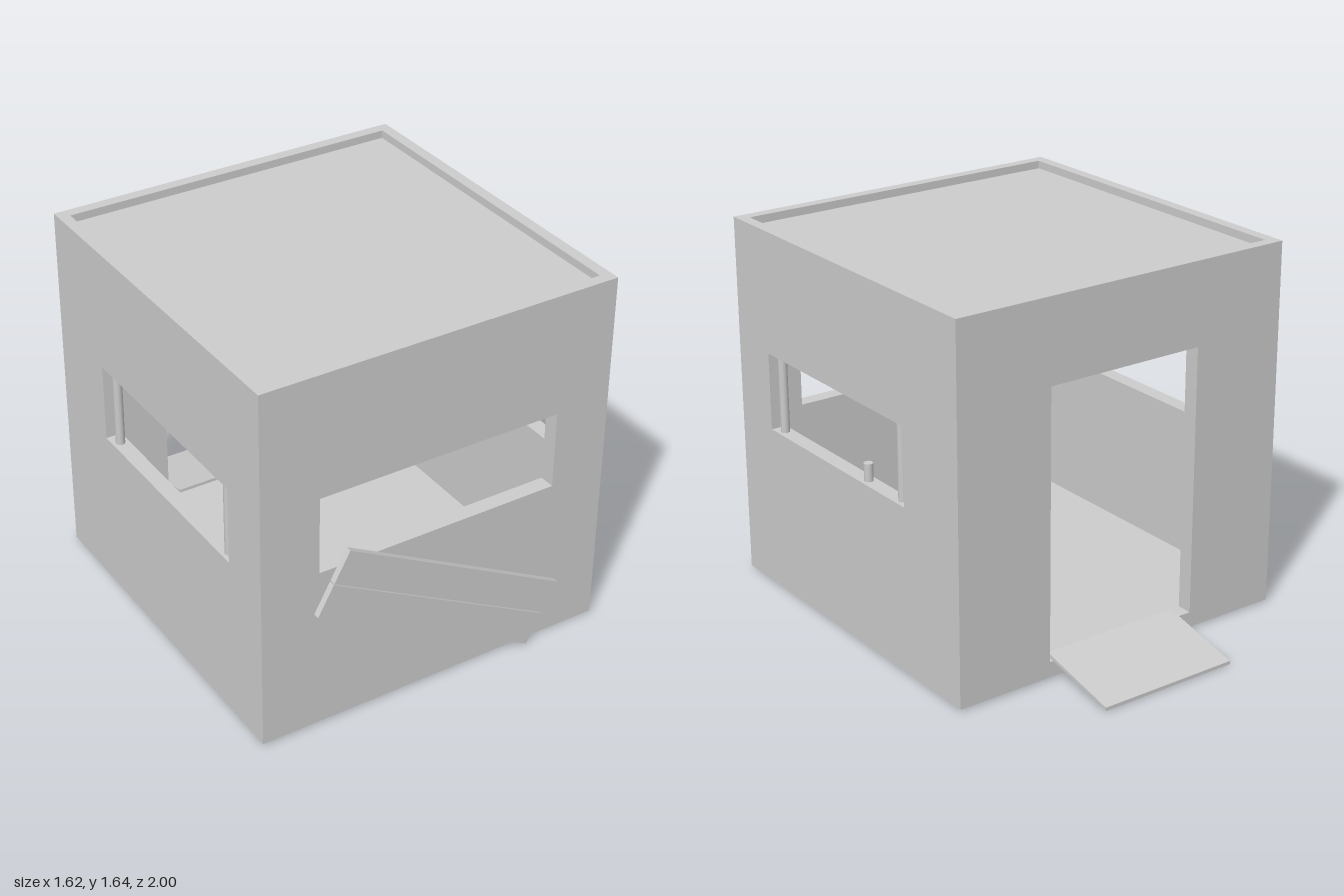
import * as THREE from 'three';

export function createModel() {
  const root = new THREE.Group();
  root.name = 'guardHut';
  const grey = new THREE.MeshStandardMaterial({ color: 0xcccccc });
  grey.name = 'plain grey';
  const flatGrey = grey;

  // Overall body limits
  const X = 0.81, Z0 = -0.66, Z1 = 0.97, Y0 = 0.015, Y1 = 1.64;
  const T = 0.07;          // wall thickness
  const ROOF = 1.605;      // roof deck height
  const RIM = 0.05;        // parapet width
  const SILL = 0.752, HEAD = 1.097, FLOOR = Y0 + T;

  const add = (name, geometry, x = 0, y = 0, z = 0, parent = root) => {
    const mesh = new THREE.Mesh(geometry, grey);
    mesh.name = name;
    mesh.position.set(x, y, z);
    parent.add(mesh);
    return mesh;
  };

  // Rectangle [a0,b0]-[a1,b1] with a rectangular hole, extruded along z
  const trace = (path, [a0, b0, a1, b1]) => {
    path.moveTo(a0, b0);
    path.lineTo(a1, b0);
    path.lineTo(a1, b1);
    path.lineTo(a0, b1);
    path.closePath();
    return path;
  };
  const holed = (outer, hole, depth) => {
    const shape = trace(new THREE.Shape(), outer);
    shape.holes.push(trace(new THREE.Path(), hole));
    return new THREE.ExtrudeGeometry(shape, { depth, bevelEnabled: false });
  };

  // Front wall with wide window, back wall with doorway
  add('frontWall', holed([-X, Y0, X, ROOF], [-0.55, SILL, 0.557, HEAD], T), 0, 0, Z1 - T);
  add('backWall', holed([-X, Y0, X, ROOF], [-0.372, FLOOR, 0.368, 1.275], T), 0, 0, Z0);

  // Side walls with windows: the shape's first axis is -z
  for (const [name, x] of [['leftWall', X - T], ['rightWall', -X]]) {
    const wall = holed([-(Z1 - T), Y0, -(Z0 + T), ROOF], [-0.73, SILL, 0.29, HEAD], T);
    add(name, wall.rotateY(Math.PI / 2), x);
  }

  // Floor and roof slabs between the walls
  const zMid = (Z0 + Z1) / 2;
  const slab = new THREE.BoxGeometry(2 * (X - T), T, Z1 - Z0 - 2 * T);
  add('floor', slab, 0, Y0 + T / 2, zMid);
  add('roof', slab, 0, ROOF - T / 2, zMid);

  // Raised rim around the roof
  const rim = holed([-X, -Z1, X, -Z0], [-X + RIM, -Z1 + RIM, X - RIM, -Z0 - RIM], Y1 - ROOF);
  add('roofRim', rim.rotateX(-Math.PI / 2), 0, ROOF);

  // Window bars, with one broken stub on the left side
  const bar = (name, side, z, height) => add(name,
    new THREE.CylinderGeometry(0.02, 0.02, height, 10), side * (X - T / 2), SILL + height / 2, z);
  for (const side of [-1, 1]) {
    for (const z of [0.675, -0.23]) bar('windowBar', side, z, HEAD - SILL);
  }
  bar('brokenBar', 1, 0.02, 0.078);

  // Fallen shutter: two boards leaning flat against the front
  const shutter = new THREE.Group();
  shutter.name = 'fallenShutter';
  shutter.position.set(0.012, 0.418, 0.986);
  shutter.rotation.z = -Math.atan2(0.56, 1.03);
  root.add(shutter);
  for (const s of [-1, 1]) {
    add('shutterBoard', new THREE.BoxGeometry(1.172, 0.149, 0.028), 0, s * 0.077, 0, shutter);
  }

  // Ramp sloping down from the doorway
  const ramp = new THREE.Shape();
  ramp.moveTo(0.62, 0.092);
  ramp.lineTo(1.0, 0.008);
  ramp.lineTo(1.0, 0.023);
  ramp.lineTo(0.62, 0.107);
  ramp.closePath();
  const rampGeometry = new THREE.ExtrudeGeometry(ramp, { depth: 0.65, bevelEnabled: false });
  add('ramp', rampGeometry.rotateY(Math.PI / 2), -0.30);

  return root;
}
